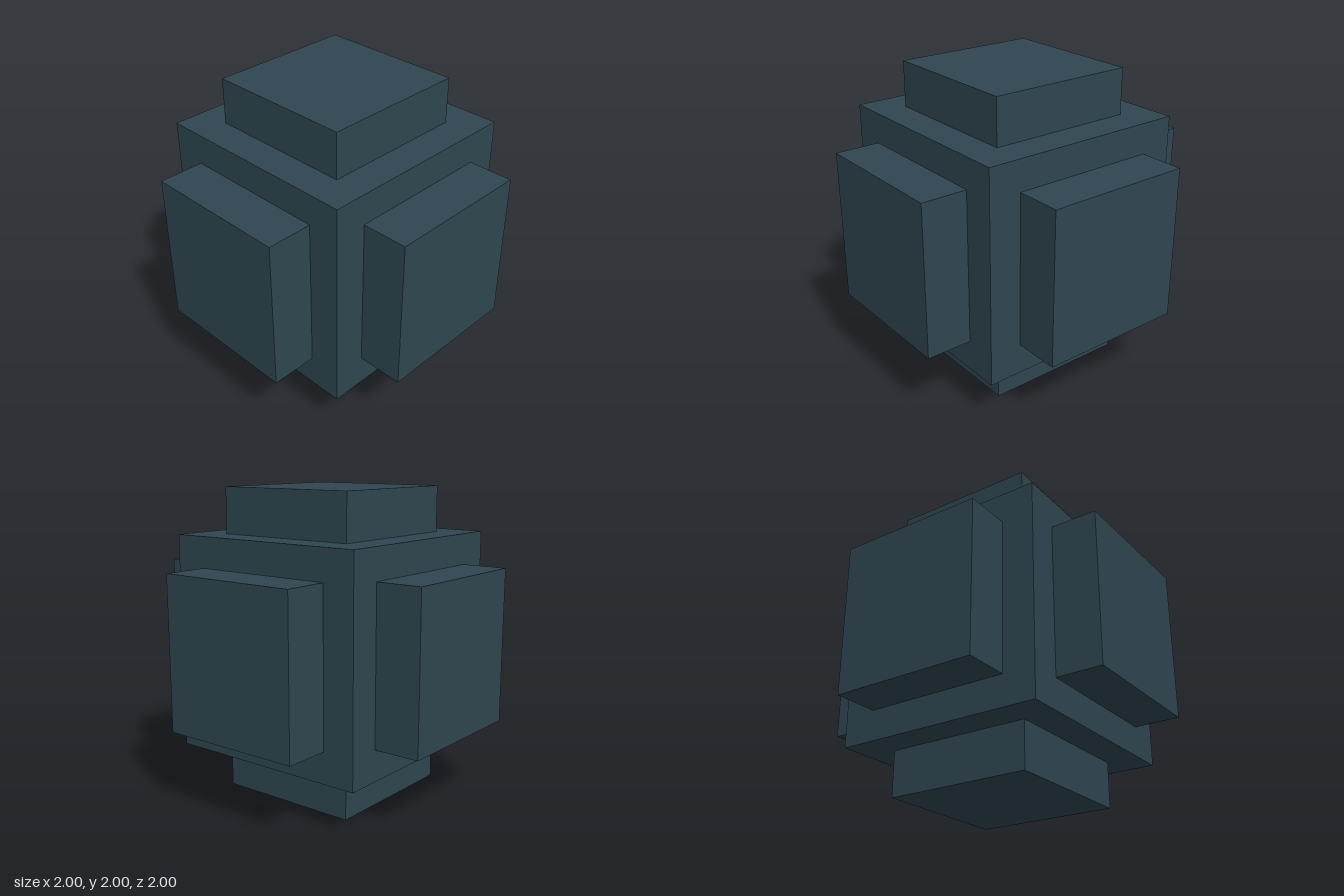
import * as THREE from 'three';

const CORE = 1.4;    // edge of the central cube
const DEPTH = 0.3;   // how far each plate stands out
const WIDTH = 0.97;  // plate width
const HEIGHT = 1.0;  // height of the upright plates

export function createModel() {
  const group = new THREE.Group();
  const material = new THREE.MeshStandardMaterial({ color: 0x2f4650 });

  const addBox = (name, size, position) => {
    const mesh = new THREE.Mesh(new THREE.BoxGeometry(...size), material);
    mesh.name = name;
    mesh.position.set(...position);
    group.add(mesh);
  };

  // Central cube
  addBox('core', [CORE, CORE, CORE], [0, 1, 0]);

  // One raised plate on each face, in mirrored pairs
  const offset = (CORE + DEPTH) / 2;
  for (const side of [1, -1]) {
    const d = side * offset;
    addBox(side > 0 ? 'leftPlate' : 'rightPlate', [DEPTH, HEIGHT, WIDTH], [d, 1, 0]);
    addBox(side > 0 ? 'topPlate' : 'bottomPlate', [WIDTH, DEPTH, WIDTH], [0, 1 + d, 0]);
    addBox(side > 0 ? 'frontPlate' : 'backPlate', [WIDTH, HEIGHT, DEPTH], [0, 1, d]);
  }

  return group;
}
